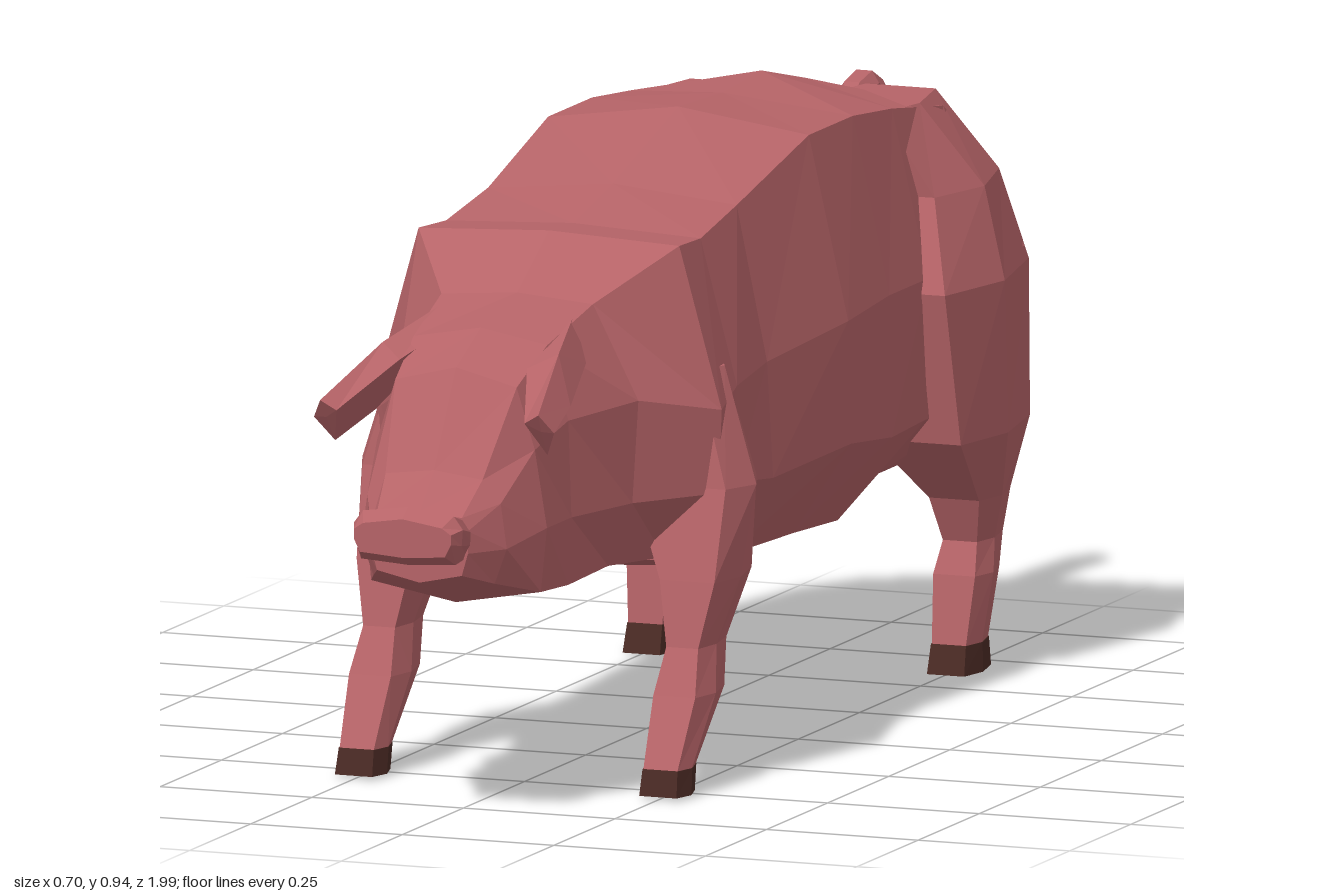
import * as THREE from 'three';

const skin = new THREE.MeshStandardMaterial({ color: 0xb56367, flatShading: true });
const hoofMat = new THREE.MeshStandardMaterial({ color: 0x4a2a24, flatShading: true });

// Closed skin over a series of rings (arrays of [x, y, z]), facing outward
function loft(name, rings, material = skin) {
  const n = rings[0].length;
  const tris = [];
  for (let i = 0; i < rings.length - 1; i++) {
    for (let j = 0; j < n; j++) {
      const k = (j + 1) % n;
      const a = rings[i][j], b = rings[i][k], c = rings[i + 1][k], d = rings[i + 1][j];
      tris.push([a, b, d], [b, c, d]);
    }
  }
  const first = rings[0], last = rings[rings.length - 1];
  const middle = (r) => [0, 1, 2].map((q) => r.reduce((s, p) => s + p[q], 0) / n);
  const m0 = middle(first), m1 = middle(last);
  for (let j = 0; j < n; j++) {
    const k = (j + 1) % n;
    tris.push([m0, first[k], first[j]], [m1, last[j], last[k]]);
  }
  const v = (p) => new THREE.Vector3(...p);
  const volume = tris.reduce((s, [a, b, c]) => s + v(a).dot(v(b).cross(v(c))), 0);
  if (volume < 0) tris.forEach((t) => t.reverse());
  const geometry = new THREE.BufferGeometry();
  geometry.setAttribute('position', new THREE.Float32BufferAttribute(tris.flat(2), 3));
  geometry.computeVertexNormals();
  const mesh = new THREE.Mesh(geometry, material);
  mesh.name = name;
  return mesh;
}

// The right hindquarter sits further forward than the left one
const skew = (x, z) => z + Math.max(0, 0.2 - x) * 0.18 * THREE.MathUtils.smoothstep(-z, 0.45, 0.7);

// Mirrored ten-sided section: top y, four side points as x, y pairs, bottom y
function section([z, top, x1, y1, x2, y2, x3, y3, x4, y4, bottom]) {
  const side = [[x1, y1], [x2, y2], [x3, y3], [x4, y4]];
  const left = side.map(([x, y]) => [x, y, skew(x, z)]);
  const right = side.map(([x, y]) => [-x, y, skew(-x, z)]).reverse();
  return [[0, top, skew(0, z)], ...left, [0, bottom, skew(0, z)], ...right];
}

// Six-sided horizontal leg section: y, back z, front z, inner x, outer x, z shift
const outline = [[0.75, 1], [1, 0.1], [0.7, -1], [-0.7, -1], [-1, 0.1], [-0.75, 1]];
function legSection([y, zb, zf, xi, xo, shift = 0], s) {
  return outline.map(([u, w]) => [
    s * ((xi + xo) / 2 + (u * (xo - xi)) / 2),
    y,
    (zb + zf) / 2 + (w * (zf - zb)) / 2 + (s < 0 ? shift : 0),
  ]);
}

function createLeg(name, s, rows, hoofRows) {
  const leg = new THREE.Group();
  leg.name = name;
  leg.add(loft(name + 'Limb', rows.map((r) => legSection(r, s))));
  leg.add(loft(name + 'Hoof', hoofRows.map((r) => legSection(r, s)), hoofMat));
  return leg;
}

export function createModel() {
  const pig = new THREE.Group();
  pig.name = 'pig';

  // Trunk, from shoulders to rump
  pig.add(loft('body', [
    [0.40, 0.84, 0.215, 0.83, 0.285, 0.58, 0.28, 0.45, 0.19, 0.34, 0.33],
    [0.30, 0.835, 0.21, 0.825, 0.27, 0.60, 0.27, 0.45, 0.19, 0.315, 0.305],
    [0.14, 0.87, 0.205, 0.85, 0.255, 0.61, 0.265, 0.43, 0.19, 0.305, 0.29],
    [-0.13, 0.945, 0.215, 0.915, 0.28, 0.63, 0.285, 0.44, 0.19, 0.295, 0.28],
    [-0.31, 0.937, 0.215, 0.915, 0.275, 0.64, 0.28, 0.42, 0.19, 0.285, 0.272],
    [-0.47, 0.945, 0.215, 0.90, 0.275, 0.64, 0.27, 0.42, 0.19, 0.33, 0.325],
    [-0.68, 0.905, 0.215, 0.87, 0.305, 0.64, 0.30, 0.42, 0.21, 0.34, 0.34],
    [-0.79, 0.825, 0.215, 0.80, 0.305, 0.64, 0.31, 0.42, 0.25, 0.35, 0.35],
    [-0.83, 0.67, 0.16, 0.68, 0.21, 0.62, 0.20, 0.58, 0.15, 0.55, 0.55],
  ].map(section)));

  // Neck, face and jaw
  pig.add(loft('head', [
    [0.40, 0.84, 0.215, 0.83, 0.285, 0.58, 0.28, 0.45, 0.19, 0.345, 0.335],
    [0.53, 0.765, 0.125, 0.755, 0.20, 0.61, 0.19, 0.45, 0.15, 0.35, 0.33],
    [0.68, 0.735, 0.11, 0.715, 0.145, 0.60, 0.15, 0.45, 0.145, 0.345, 0.315],
    [0.78, 0.69, 0.10, 0.665, 0.13, 0.57, 0.15, 0.45, 0.14, 0.35, 0.325],
    [0.87, 0.545, 0.08, 0.535, 0.11, 0.50, 0.12, 0.43, 0.10, 0.375, 0.36],
    [0.93, 0.49, 0.07, 0.485, 0.08, 0.465, 0.08, 0.43, 0.07, 0.395, 0.38],
  ].map(section)));

  // Flat nose disc
  pig.add(loft('snout', [
    [0.91, 0.485, 0.07, 0.475, 0.08, 0.46, 0.08, 0.44, 0.07, 0.42, 0.415],
    [0.975, 0.505, 0.075, 0.495, 0.09, 0.475, 0.088, 0.45, 0.078, 0.42, 0.415],
    [1.0, 0.49, 0.065, 0.48, 0.08, 0.47, 0.08, 0.455, 0.07, 0.435, 0.43],
  ].map(section)));

  for (const s of [1, -1]) {
    const side = s > 0 ? 'left' : 'right';

    // Ear, folded forward over the eye
    pig.add(loft(side + 'Ear', [
      [[0.06, 0.735, 0.60], [0.11, 0.745, 0.57], [0.15, 0.68, 0.62], [0.10, 0.65, 0.68]],
      [[0.105, 0.69, 0.75], [0.145, 0.71, 0.72], [0.185, 0.64, 0.77], [0.145, 0.61, 0.75]],
      [[0.155, 0.63, 0.885], [0.18, 0.645, 0.89], [0.198, 0.615, 0.87], [0.175, 0.575, 0.84]],
    ].map((ring) => ring.map(([x, y, z]) => [s * x, y, z]))));

    // Front leg with shoulder
    pig.add(createLeg(side + 'FrontLeg', s, [
      [0.64, 0.29, 0.40, 0.08, 0.27],
      [0.46, 0.28, 0.42, 0.12, 0.325],
      [0.32, 0.295, 0.455, 0.19, 0.31],
      [0.22, 0.355, 0.475, 0.215, 0.285],
      [0.15, 0.385, 0.51, 0.205, 0.297],
      [0.045, 0.485, 0.565, 0.213, 0.288],
    ], [
      [0.045, 0.485, 0.567, 0.212, 0.289],
      [0.005, 0.497, 0.577, 0.21, 0.292],
    ]));

    // Hind leg with thigh
    pig.add(createLeg(side + 'HindLeg', s, [
      [0.89, -0.71, -0.48, 0.05, 0.215, 0.06],
      [0.76, -0.78, -0.50, 0.05, 0.305, 0.08],
      [0.62, -0.80, -0.44, 0.08, 0.348, 0.08],
      [0.38, -0.785, -0.49, 0.15, 0.345, 0.08],
      [0.27, -0.76, -0.625, 0.20, 0.31, 0.04],
      [0.20, -0.765, -0.655, 0.215, 0.29, 0.02],
      [0.15, -0.74, -0.635, 0.205, 0.297, 0.01],
      [0.045, -0.71, -0.615, 0.213, 0.288],
    ], [
      [0.045, -0.712, -0.613, 0.212, 0.289],
      [0, -0.715, -0.60, 0.21, 0.292],
    ]));
  }

  // Curled tail, tapering along a spiral
  const curve = new THREE.CatmullRomCurve3([
    [0.65, -0.79], [0.67, -0.87], [0.71, -0.94], [0.78, -0.972], [0.835, -0.945],
    [0.855, -0.895], [0.825, -0.85], [0.775, -0.84], [0.745, -0.87], [0.745, -0.895],
  ].map(([y, z]) => new THREE.Vector3(-0.01, y, z)));
  const tailRings = [];
  for (let i = 0; i <= 14; i++) {
    const p = curve.getPointAt(i / 14), t = curve.getTangentAt(i / 14);
    const r = 0.034 - (0.02 * i) / 14;
    tailRings.push(Array.from({ length: 6 }, (_, j) => {
      const a = (j * Math.PI) / 3;
      const across = Math.cos(a) * r * 1.25, out = Math.sin(a) * r;
      return [p.x + across, p.y - t.z * out, p.z + t.y * out];
    }));
  }
  pig.add(loft('tail', tailRings));

  return pig;
}
